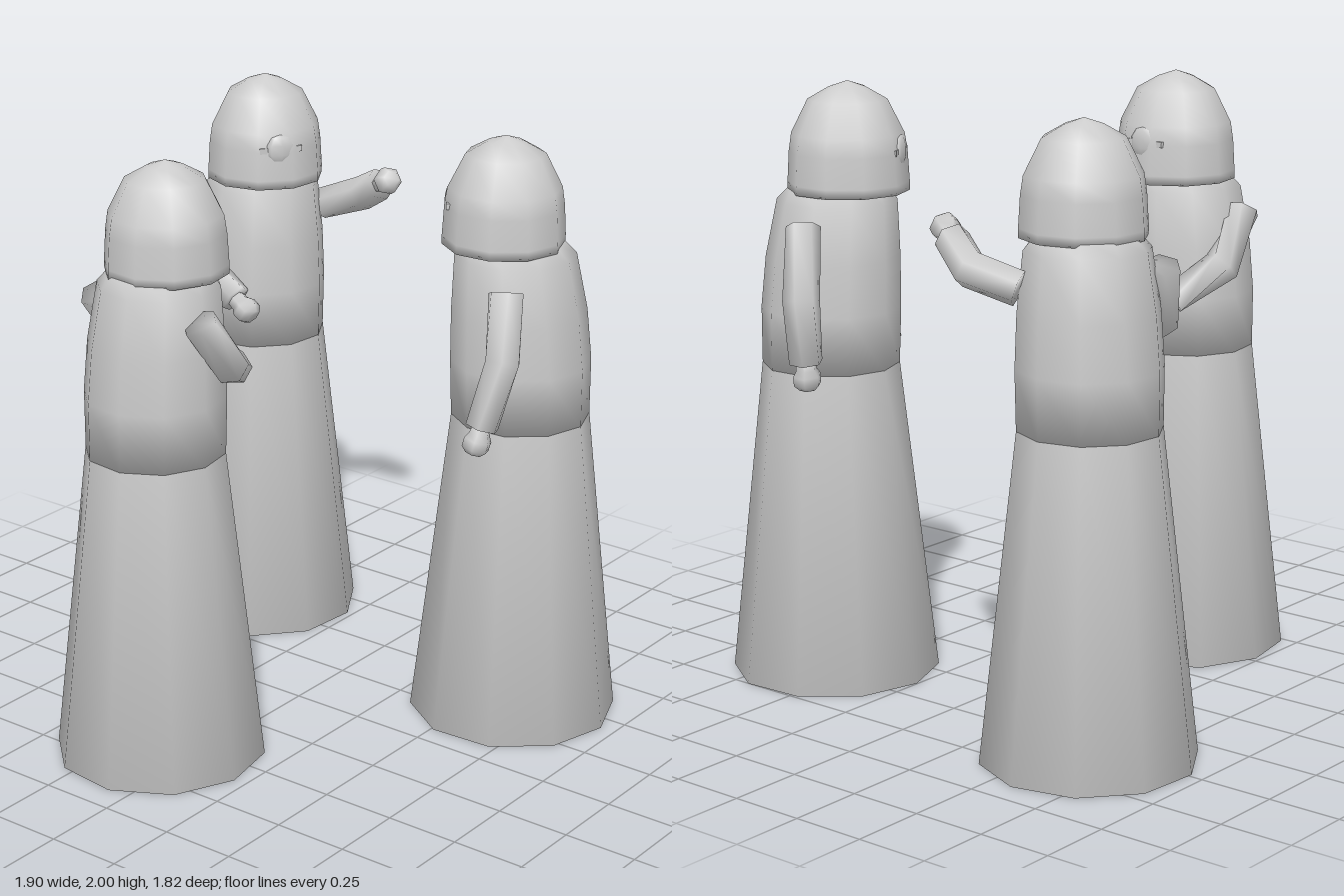
import * as THREE from 'three';

const rad = THREE.MathUtils.degToRad;
const V = (p) => new THREE.Vector3(...p);

// Ten-sided smooth solid turned from a [radius, height] profile
function turned(profile, lean = () => 0) {
  const geo = new THREE.LatheGeometry(profile.map(([r, y]) => new THREE.Vector2(r, y)), 10, rad(11));
  const pos = geo.attributes.position;
  for (let i = 0; i < pos.count; i++) pos.setZ(i, pos.getZ(i) + lean(pos.getY(i)));
  return geo;
}

// Closed tube through rings of { at, dir, rx, ry }
function loft(rings, sides = 6) {
  const pos = [], idx = [];
  const up = new THREE.Vector3(0, 0, 1);
  for (const { at, dir, rx, ry } of rings) {
    const q = new THREE.Quaternion().setFromUnitVectors(up, dir);
    for (let i = 0; i < sides; i++) {
      const a = (i / sides) * Math.PI * 2;
      const p = new THREE.Vector3(Math.cos(a) * rx, Math.sin(a) * ry, 0).applyQuaternion(q).add(at);
      pos.push(p.x, p.y, p.z);
    }
  }
  for (let r = 0; r < rings.length - 1; r++) {
    for (let i = 0; i < sides; i++) {
      const a = r * sides + i, b = r * sides + (i + 1) % sides;
      idx.push(a, b, a + sides, b, b + sides, a + sides);
    }
  }
  const last = (rings.length - 1) * sides;
  for (let i = 1; i < sides - 1; i++) {
    idx.push(0, i + 1, i, last, last + i, last + i + 1);
  }
  const geo = new THREE.BufferGeometry();
  geo.setAttribute('position', new THREE.Float32BufferAttribute(pos, 3));
  geo.setIndex(idx);
  geo.computeVertexNormals();
  return geo;
}

export function createModel() {
  const model = new THREE.Group();
  model.name = 'robedFigures';
  const grey = new THREE.MeshStandardMaterial({ color: 0xcccccc, side: THREE.DoubleSide });
  grey.name = 'stone grey';

  const add = (parent, name, geo) => {
    const mesh = new THREE.Mesh(geo, grey);
    mesh.name = name;
    parent.add(mesh);
    return mesh;
  };

  // Shared body shapes
  const skirtGeo = turned([[0, 0], [0.348, 0], [0.228, 1.06]]);
  const torsoGeo = turned(
    [[0, 1.055], [0.228, 1.055], [0.231, 1.25], [0.222, 1.42], [0.198, 1.61], [0.15, 1.665], [0, 1.665]],
    (y) => 0.035 * ((y - 1.055) / 0.6) ** 2);
  const headGeo = turned(
    [[0, 1.645], [0.2, 1.64], [0.2, 1.67], [0.194, 1.77], [0.185, 1.83], [0.13, 1.94], [0.06, 1.98], [0, 2.0]]);

  // Sleeve from shoulder to elbow to cuff, with a small fist beyond it
  function arm(name, shoulder, elbow, hand) {
    const group = new THREE.Group();
    group.name = name;
    const s = V(shoulder), e = V(elbow), h = V(hand);
    const upper = e.clone().sub(s).normalize();
    const fore = h.clone().sub(e).normalize();
    const bend = upper.clone().add(fore).normalize();
    const cuff = h.clone().addScaledVector(fore, -0.045);
    add(group, 'sleeve', loft([
      { at: s, dir: upper, rx: 0.06, ry: 0.055 },
      { at: e, dir: bend, rx: 0.062, ry: 0.06 },
      { at: cuff, dir: fore, rx: 0.056, ry: 0.056 },
    ]));
    add(group, 'fist', loft([
      [-0.07, 0.03], [-0.02, 0.035], [0.0, 0.047], [0.03, 0.046], [0.048, 0.028],
    ].map(([d, r]) => ({ at: h.clone().addScaledVector(fore, d), dir: fore, rx: r, ry: r }))));
    return group;
  }

  const figures = [
    { name: 'backRightFigure', x: -0.612, z: -0.565, facing: 56,
      left: [[-0.47, 1.5, -0.73], [-0.33, 1.55, -0.79], [-0.17, 1.64, -0.71]],
      right: [[-0.74, 1.55, -0.38], [-0.68, 1.36, -0.31], [-0.47, 1.23, -0.30]] },
    { name: 'frontFigure', x: -0.14, z: 0.565, facing: 180,
      left: [[-0.36, 1.54, 0.58], [-0.37, 1.37, 0.45], [-0.24, 1.24, 0.29]],
      right: [[0.08, 1.54, 0.60], [0.10, 1.37, 0.48], [-0.03, 1.28, 0.29]] },
    { name: 'backLeftFigure', x: 0.6, z: -0.415, facing: -62,
      left: [[0.68, 1.55, -0.19], [0.72, 1.35, -0.12], [0.67, 1.09, -0.065]],
      right: [[0.5, 1.56, -0.64], [0.43, 1.34, -0.73], [0.44, 1.09, -0.70]] },
  ];

  for (const f of figures) {
    const figure = new THREE.Group();
    figure.name = f.name;
    const body = new THREE.Group();
    body.name = 'body';
    body.position.set(f.x, 0, f.z);
    body.rotation.y = rad(f.facing);
    add(body, 'skirt', skirtGeo);
    add(body, 'torso', torsoGeo);
    add(body, 'hoodedHead', headGeo).position.z = 0.07;

    // Shallow mouthpiece and cheek bar on the front of the head
    const mouth = add(body, 'mouthpiece', new THREE.SphereGeometry(0.055, 8, 5));
    mouth.scale.z = 0.35;
    mouth.position.set(0, 1.775, 0.245);
    add(body, 'cheekBar', new THREE.BoxGeometry(0.15, 0.02, 0.03)).position.set(0, 1.775, 0.235);

    figure.add(body, arm('leftArm', ...f.left), arm('rightArm', ...f.right));
    model.add(figure);
  }
  return model;
}
